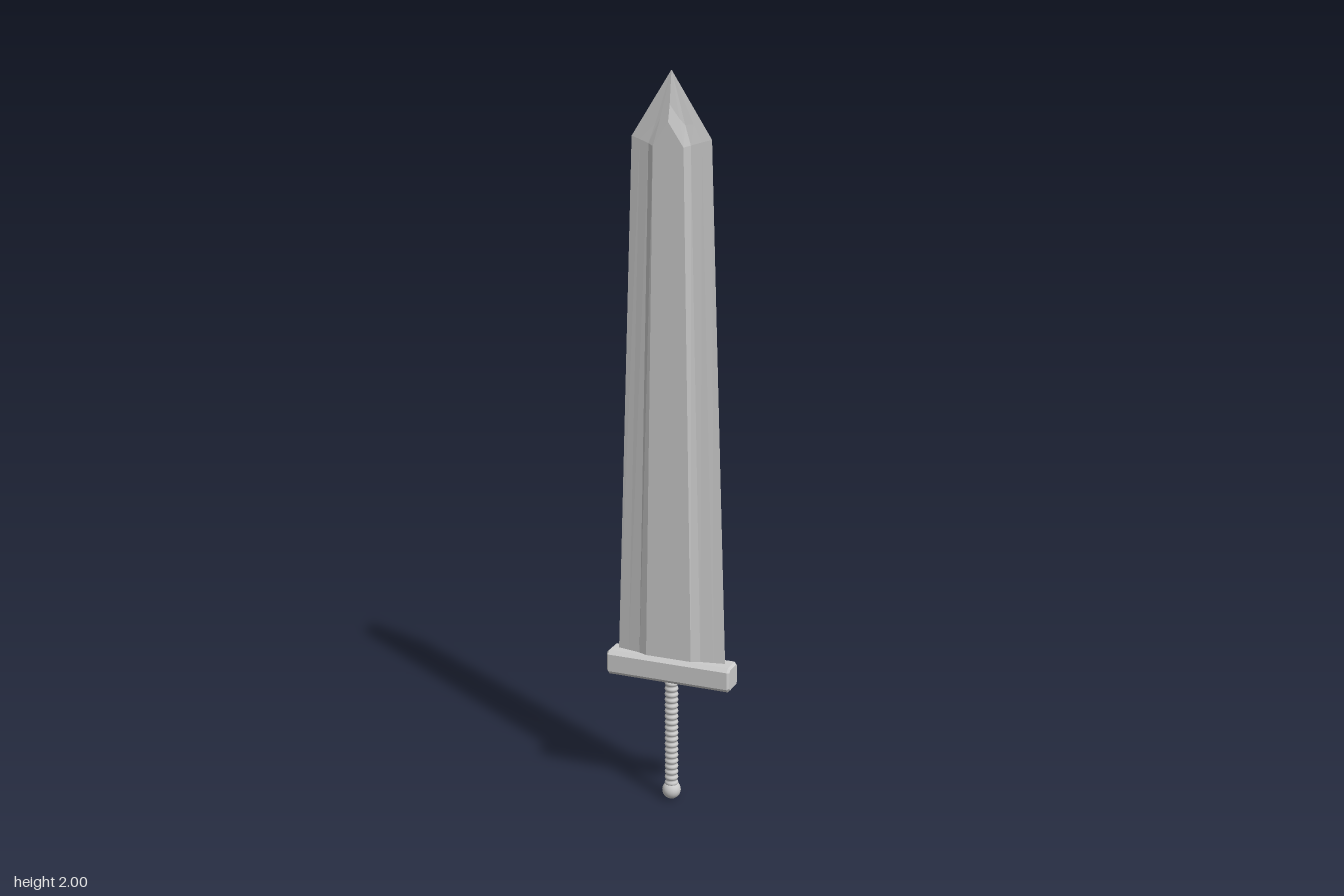
import * as THREE from 'three';

const steel = new THREE.MeshStandardMaterial({ color: 0xcccccc, flatShading: true, side: THREE.DoubleSide });
const smooth = new THREE.MeshStandardMaterial({ color: 0xcccccc });

function add(group, name, geometry, material) {
  const mesh = new THREE.Mesh(geometry, material);
  mesh.name = name;
  group.add(mesh);
  return mesh;
}

// Quarter sections [x, y, z] from cutting edge to centre line, mirrored into full rings
function bladeGeometry() {
  const quarters = [
    [[0.157, 0.40, 0], [0.125, 0.40, 0.006], [0.09, 0.40, 0.013], [0.066, 0.40, 0.023], [0, 0.40, 0.023]],
    [[0.11, 1.83, 0], [0.085, 1.823, 0.006], [0.058, 1.815, 0.013], [0.042, 1.81, 0.023], [0, 1.872, 0.023]],
    [[0.084, 1.87, 0], [0.062, 1.867, 0.005], [0.041, 1.865, 0.009], [0.026, 1.88, 0.011], [0, 1.915, 0.012]],
    Array(5).fill([0, 2, 0]),
  ];
  const rings = quarters.map((q) => {
    const front = [...q, ...q.slice(0, 4).reverse().map(([x, y, z]) => [-x, y, z])];
    const back = front.slice(1, 8).reverse().map(([x, y, z]) => [x, y, -z]);
    return [...front, ...back];
  });
  const n = rings[0].length;
  const index = [];
  for (let r = 0; r < rings.length - 1; r++) {
    for (let i = 0; i < n; i++) {
      const a = r * n + i, b = r * n + (i + 1) % n;
      index.push(a, a + n, b);
      if (r < rings.length - 2) index.push(b, a + n, b + n);
    }
  }
  const geometry = new THREE.BufferGeometry();
  geometry.setAttribute('position', new THREE.Float32BufferAttribute(rings.flat(2), 3));
  geometry.setIndex(index);
  const flat = geometry.toNonIndexed();
  flat.computeVertexNormals();
  return flat;
}

// Bar with chamfered long edges and chamfered ends, running along x
function guardGeometry(halfLength, halfHeight, halfDepth, c) {
  const h = halfHeight - c, d = halfDepth - c, k = 0.007;
  const shape = new THREE.Shape([
    [d, -h + k], [d, h - k], [d - k, h], [-d + k, h],
    [-d, h - k], [-d, -h + k], [-d + k, -h], [d - k, -h],
  ].map(([x, y]) => new THREE.Vector2(x, y)));
  const depth = 2 * (halfLength - c);
  return new THREE.ExtrudeGeometry(shape, {
    depth, bevelEnabled: true, bevelSegments: 1, bevelSize: c, bevelThickness: c,
  }).translate(0, 0, -depth / 2).rotateY(Math.PI / 2);
}

// Grip wound with evenly spaced cord
function gripGeometry(bottom, top, turns) {
  const points = [];
  const steps = turns * 6;
  for (let i = 0; i <= steps; i++) {
    const swell = Math.abs(Math.sin(Math.PI * i / 6));
    points.push(new THREE.Vector2(0.0145 + 0.0045 * swell, bottom + (top - bottom) * i / steps));
  }
  return new THREE.LatheGeometry(points, 20);
}

export function createModel() {
  const sword = new THREE.Group();
  sword.name = 'sword';
  add(sword, 'blade', bladeGeometry(), steel);
  add(sword, 'crossguard', guardGeometry(0.18, 0.035, 0.036, 0.006), steel).position.y = 0.39;
  add(sword, 'grip', gripGeometry(0.04, 0.37, 20), smooth);
  add(sword, 'pommel', new THREE.SphereGeometry(0.026, 20, 14), smooth).position.y = 0.026;
  return sword;
}
